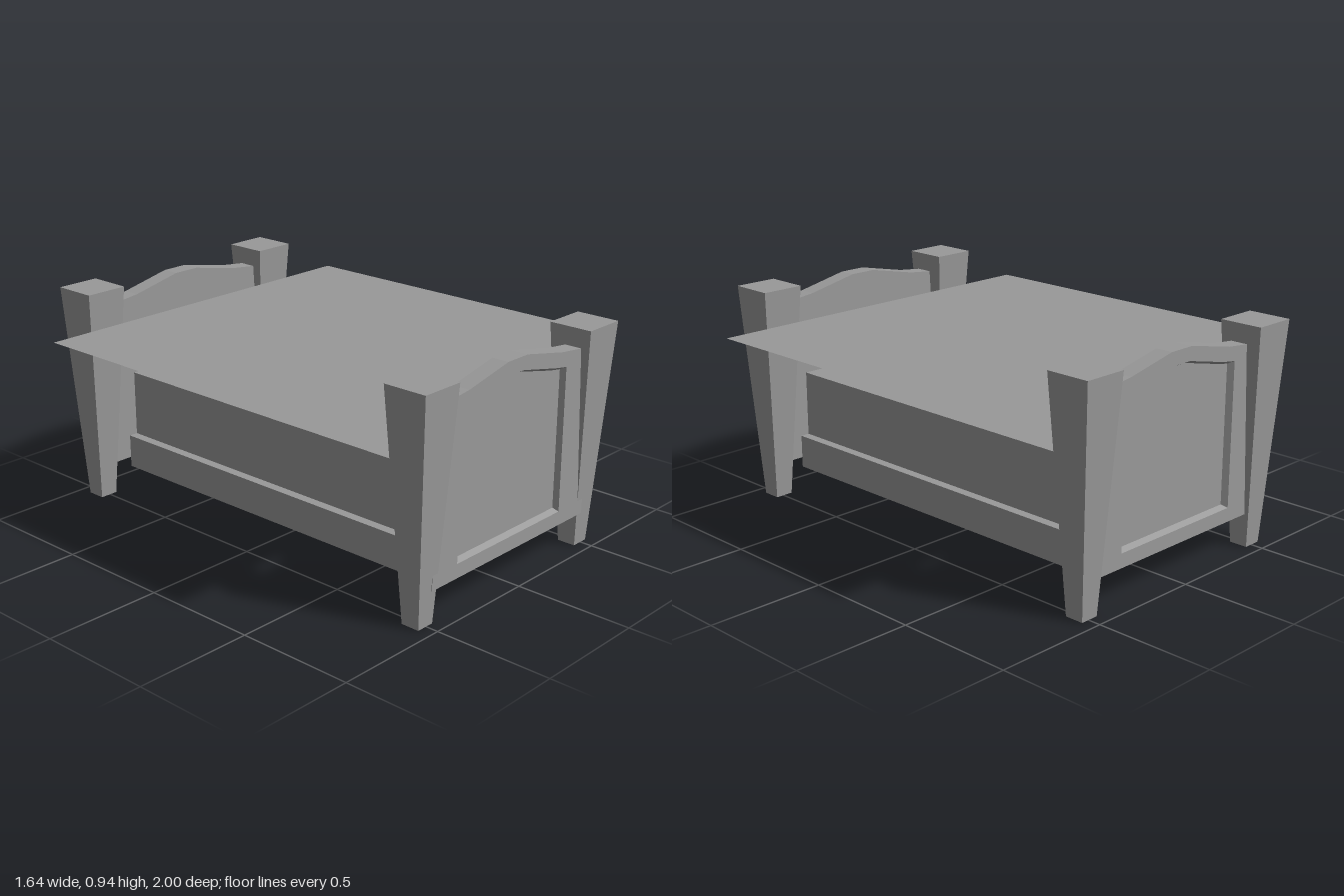
import * as THREE from 'three';

export function createModel() {
  const model = new THREE.Group();
  model.name = 'bed';
  const grey = new THREE.MeshStandardMaterial({ color: 0x999999, side: THREE.DoubleSide });
  grey.name = 'grey';

  const add = (parent, name, geometry, x = 0, y = 0, z = 0) => {
    const mesh = new THREE.Mesh(geometry, grey);
    mesh.name = name;
    mesh.position.set(x, y, z);
    parent.add(mesh);
    return mesh;
  };

  // Four square posts, narrow at the foot and wide at the top
  const H = 0.945;
  const postGeometry = new THREE.CylinderGeometry(0.095 * Math.SQRT2, 0.04 * Math.SQRT2, H, 4)
    .rotateY(Math.PI / 4).toNonIndexed();
  postGeometry.computeVertexNormals();
  for (const [end, z] of [['front', 0.905], ['back', -0.905]]) {
    add(model, end + 'LeftPost', postGeometry, 0.495, H / 2, z);
    add(model, end + 'RightPost', postGeometry, -0.505, H / 2, z);
  }

  // Base rail box, mattress block and the flat cover sheet
  add(model, 'baseRails', new THREE.BoxGeometry(0.75, 0.145, 1.74), 0, 0.1725, 0.01);
  add(model, 'mattress', new THREE.BoxGeometry(0.67, 0.29, 1.74), 0, 0.385, 0.01);
  add(model, 'coverSheet', new THREE.PlaneGeometry(1.64, 1.55).rotateX(-Math.PI / 2), 0, 0.8, 0);

  // Arched end boards with a bevelled, sunken panel on the outer face
  const outline = [[-0.485, 0.143], [0.475, 0.143], [0.475, 0.86], [0.4, 0.866], [0.28, 0.88],
    [0.05, 0.927], [-0.07, 0.927], [-0.3, 0.878], [-0.41, 0.866], [-0.485, 0.86]];
  const panelOuter = [[-0.34, 0.203], [0.31, 0.203], [0.31, 0.813], [0.24, 0.825],
    [0.03, 0.87], [-0.06, 0.87], [-0.27, 0.823], [-0.34, 0.813]];
  const panelInner = [[-0.326, 0.215], [0.302, 0.215], [0.302, 0.8], [0.236, 0.811],
    [0.028, 0.858], [-0.058, 0.858], [-0.266, 0.811], [-0.326, 0.8]];
  const thickness = 0.075, depth = 0.025;

  const endBoard = (name, side) => {
    const board = new THREE.Group();
    board.name = name;
    const loop = pts => {
      const points = pts.map(([x, y]) => new THREE.Vector2(x * side, y));
      return side < 0 ? points.reverse() : points;
    };
    const extrude = (shape, d) => new THREE.ExtrudeGeometry(shape, { depth: d, bevelEnabled: false });

    add(board, 'boardSlab', extrude(new THREE.Shape(loop(outline)), thickness - depth));
    const frame = new THREE.Shape(loop(outline));
    frame.holes.push(new THREE.Path(loop(panelOuter)));
    add(board, 'boardFrame', extrude(frame, depth), 0, 0, thickness - depth);

    // Sloping moulding between the frame and the sunken panel
    const outer = loop(panelOuter), inner = loop(panelInner), positions = [];
    for (let i = 0; i < outer.length; i++) {
      const j = (i + 1) % outer.length;
      const a = [outer[i].x, outer[i].y, thickness], b = [outer[j].x, outer[j].y, thickness];
      const c = [inner[j].x, inner[j].y, thickness - depth], d = [inner[i].x, inner[i].y, thickness - depth];
      positions.push(...a, ...b, ...c, ...a, ...c, ...d);
    }
    const moulding = new THREE.BufferGeometry();
    moulding.setAttribute('position', new THREE.Float32BufferAttribute(positions, 3));
    moulding.computeVertexNormals();
    add(board, 'panelMoulding', moulding);
    model.add(board);
    return board;
  };

  endBoard('frontBoard', 1).position.z = 0.882;
  const back = endBoard('backBoard', -1);
  back.rotation.y = Math.PI;
  back.position.z = -0.86;

  return model;
}
